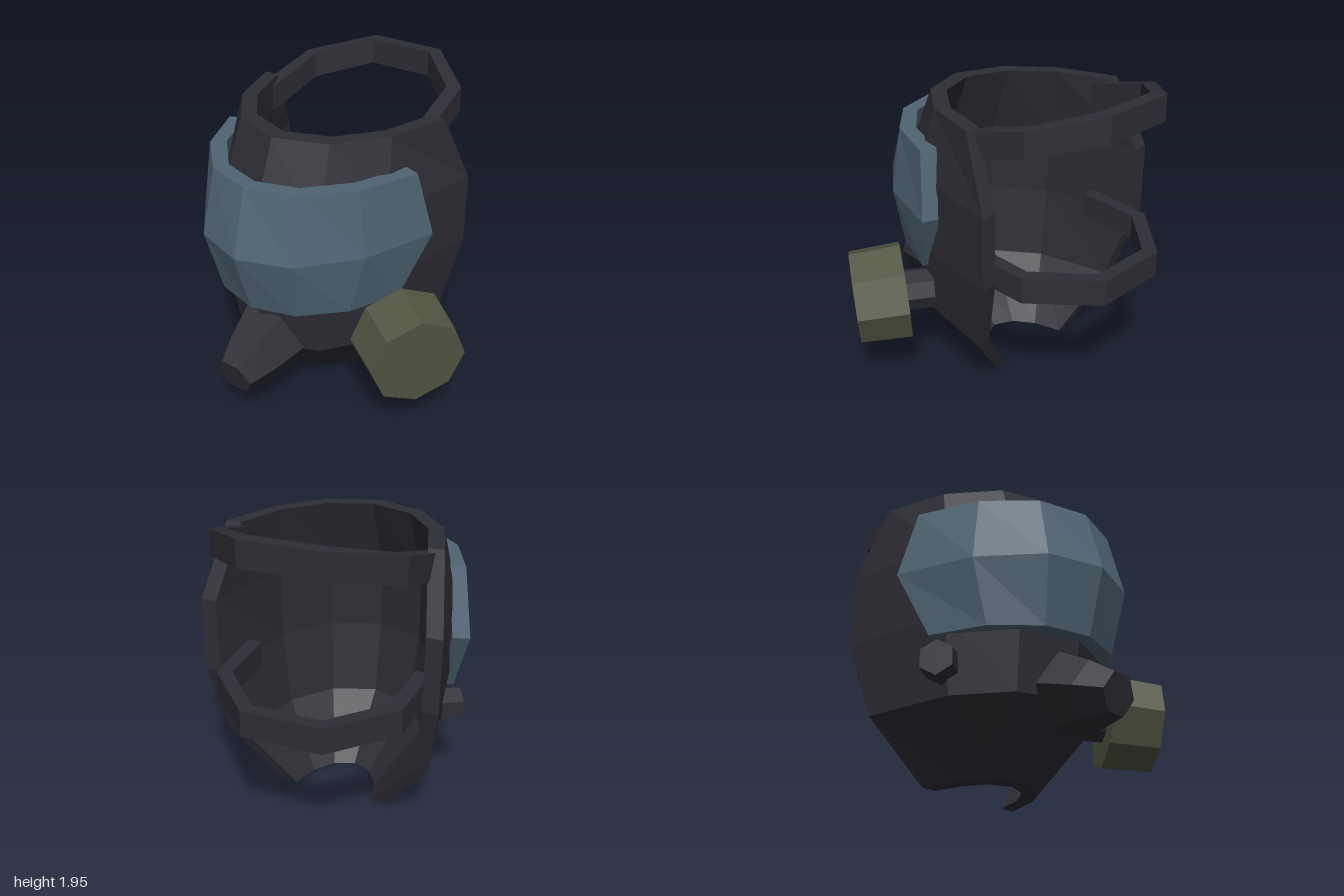
import * as THREE from 'three';

const CX = -0.19; // centre line of the mask

const rubber = new THREE.MeshStandardMaterial({ color: 0x2e2d35 });
rubber.name = 'dark rubber';
const glass = new THREE.MeshStandardMaterial({ color: 0x4f6474 });
glass.name = 'blue grey visor';
const olive = new THREE.MeshStandardMaterial({ color: 0x535643 });
olive.name = 'olive canister';

function addPart(group, name, geometry, material) {
  const flat = geometry.index ? geometry.toNonIndexed() : geometry;
  flat.computeVertexNormals();
  const mesh = new THREE.Mesh(flat, material);
  mesh.name = name;
  group.add(mesh);
  return mesh;
}

// Closed solid through matching rings; the first half of each ring is the outer wall,
// the second half runs back along the inner wall.
function loft(rings) {
  const n = rings[0].length;
  const tris = [];
  const quad = (a, b, c, d) => tris.push([a, b, c], [a, c, d]);
  for (let i = 0; i < rings.length - 1; i++) {
    for (let k = 0; k < n; k++) {
      const m = (k + 1) % n;
      quad(rings[i][k], rings[i][m], rings[i + 1][m], rings[i + 1][k]);
    }
  }
  const first = rings[0], last = rings[rings.length - 1];
  for (let k = 0; k < n / 2 - 1; k++) {
    quad(first[k], first[n - 1 - k], first[n - 2 - k], first[k + 1]);
    quad(last[k], last[k + 1], last[n - 2 - k], last[n - 1 - k]);
  }
  // Turn every face outward
  let volume = 0;
  for (const [a, b, c] of tris) volume += a.dot(b.clone().cross(c));
  const points = tris.flatMap(([a, b, c]) => (volume < 0 ? [a, c, b] : [a, b, c]));
  return new THREE.BufferGeometry().setFromPoints(points);
}

// Curved wall of seven columns. Half columns are [share of width, share of depth, cheek gain];
// wall levels are [y, half width, front z, back z, cheek fullness].
function faceWall(half, outer, inner) {
  const columns = [...half, [0, 1, 0], ...half.map(([w, d, g]) => [-w, d, g]).reverse()];
  const path = [...outer, ...inner.slice().reverse()];
  return loft(columns.map(([w, d, gain]) => path.map(([y, hw, front, back, full]) =>
    new THREE.Vector3(CX + w * hw, y, back + (d + gain * full) * (front - back)))));
}

// Flat band running round the back of the head
function strap(yAt, endHalfWidth, backZ) {
  const side = [
    [endHalfWidth, endHalfWidth - 0.1, -0.2, -0.2],
    [0.6, 0.515, -0.65, -0.61],
    [0.255, 0.22, backZ, backZ + 0.09],
  ];
  const stations = [...side, ...side.map(([o, i, zo, zi]) => [-o, -i, zo, zi]).reverse()];
  const h = 0.083;
  return loft(stations.map(([xo, xi, zo, zi]) => [
    new THREE.Vector3(CX + xo, yAt(zo) - h, zo),
    new THREE.Vector3(CX + xo, yAt(zo) + h, zo),
    new THREE.Vector3(CX + xi, yAt(zo) + h, zi),
    new THREE.Vector3(CX + xi, yAt(zo) - h, zi),
  ]));
}

// Faceted cylinder between two points
function barrel(from, to, r0, r1, sides) {
  const a = new THREE.Vector3(...from), b = new THREE.Vector3(...to);
  const axis = b.clone().sub(a);
  const geometry = new THREE.CylinderGeometry(r1, r0, axis.length(), sides);
  const turn = new THREE.Quaternion().setFromUnitVectors(new THREE.Vector3(0, 1, 0), axis.normalize());
  // Keep one corner of the polygon pointing straight up
  const up = new THREE.Vector3(0, 1, 0).applyQuaternion(turn.clone().invert());
  geometry.rotateY(Math.atan2(up.x, up.z));
  geometry.applyQuaternion(turn);
  const mid = a.add(b).multiplyScalar(0.5);
  return geometry.translate(mid.x, mid.y, mid.z);
}

export function createModel() {
  const group = new THREE.Group();
  group.name = 'respirator mask';

  // Face shell, open at the back, top and bottom
  const shellHalf = [[1, 0, 0], [0.82, 0.49, 0.11], [0.48, 0.85, 0.04]];
  const shell = [
    [0, 0.37, 0.26, -0.23, 0],
    [0.4, 0.685, 0.64, -0.37, 0.7],
    [0.88, 0.765, 0.72, -0.5, 1],
    [1.35, 0.77, 0.7, -0.5, 1],
    [1.8, 0.69, 0.51, -0.29, 0],
  ];
  const lining = shell.map(([y, w, f, b, full]) => [y, w - 0.1, f - 0.11, b, full]);
  addPart(group, 'faceShell', faceWall(shellHalf, shell, lining), rubber);

  // Wraparound visor
  const visorHalf = [[1, 0, 0], [0.78, 0.515, 0], [0.425, 0.875, 0]];
  const visor = [
    [0.76, 0.67, 0.78, 0.14, 0],
    [1.17, 0.8, 0.9, -0.02, 0],
    [1.59, 0.725, 0.78, 0.06, 0],
  ];
  const visorBack = visor.map(([y, w, f, b, full]) => [y, w - 0.1, f - 0.1, b - 0.035, full]);
  addPart(group, 'visor', faceWall(visorHalf, visor, visorBack), glass);

  // Head straps
  addPart(group, 'upperStrap', strap((z) => 1.62 - 0.25 * z, 0.65, -0.975), rubber);
  addPart(group, 'lowerStrap', strap((z) => 0.91 + 0.06 * z, 0.62, -1), rubber);

  // Tapered outlet on the chin, tilted down
  const profile = [[0, -0.2], [0.26, -0.2], [0.2, 0.02], [0.13, 0.19], [0, 0.19]]
    .map(([r, y]) => new THREE.Vector2(r, y));
  const outlet = new THREE.LatheGeometry(profile, 6, Math.PI / 6);
  const nozzle = addPart(group, 'chinOutlet', outlet, rubber);
  nozzle.rotation.x = Math.PI / 2 + 0.263;
  nozzle.position.set(CX, 0.395, 0.79);

  // Filter canister on the left cheek, with its socket
  addPart(group, 'filterCanister', barrel([0.545, 0.58, 0.24], [0.81, 0.555, 0.43], 0.32, 0.305, 8), olive);
  addPart(group, 'canisterSocket', barrel([0.4, 0.575, 0.14], [0.56, 0.57, 0.25], 0.135, 0.135, 8), rubber);

  // Small plug on the right cheek
  addPart(group, 'cheekPlug', barrel([-0.76, 0.585, 0.16], [-0.88, 0.585, 0.24], 0.115, 0.11, 6), rubber);

  return group;
}
